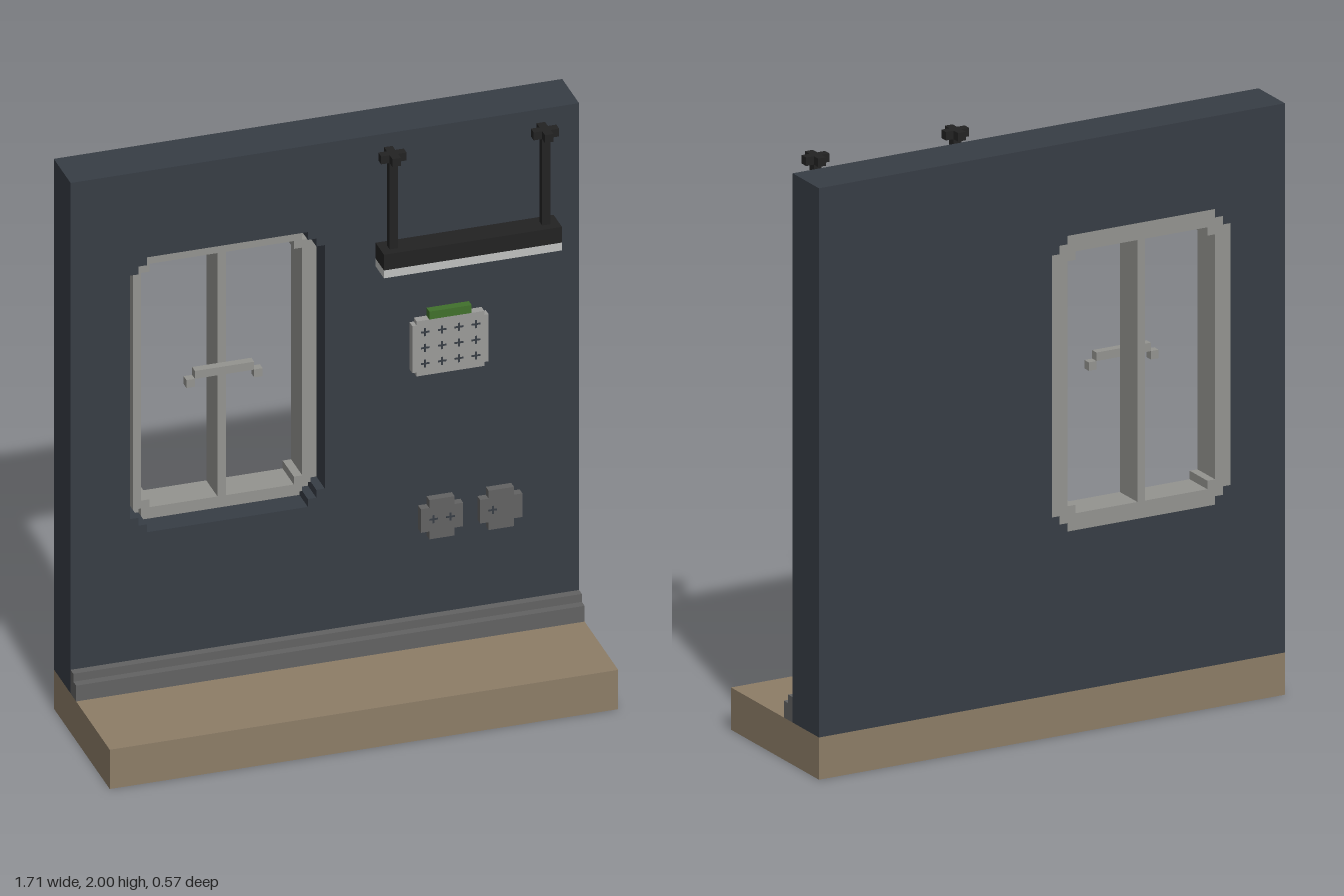
import * as THREE from 'three';

// Everything is laid out on a block grid, 70 blocks tall.
const UNIT = 2 / 70;

const mat = (name, color) => {
  const m = new THREE.MeshStandardMaterial({ color });
  m.name = name;
  return m;
};

// Corners of a rectangle whose corners are notched by n steps of size s.
function steppedRect(x0, y0, x1, y1, n, s = 1) {
  const corner = [];
  for (let i = 0; i <= n; i++) {
    corner.push([i * s, (n - i) * s]);
    if (i < n) corner.push([(i + 1) * s, (n - i) * s]);
  }
  const back = [...corner].reverse();
  return [
    ...corner.map(([a, b]) => [x0 + a, y0 + b]),
    ...back.map(([a, b]) => [x1 - a, y0 + b]),
    ...corner.map(([a, b]) => [x1 - a, y1 - b]),
    ...back.map(([a, b]) => [x0 + a, y1 - b]),
  ].map(([x, y]) => new THREE.Vector2(x, y));
}

export function createModel() {
  const wallBlue = mat('wall blue', 0x373d45);
  const wood = mat('floor tan', 0x8d7d67);
  const trim = mat('trim grey', 0x626262);
  const frameGrey = mat('frame grey', 0x949490);
  const panelGrey = mat('panel grey', 0x9b9b99);
  const socketGrey = mat('socket grey', 0x626262);
  const green = mat('tab green', 0x41702c);
  const black = mat('lamp black', 0x222222);
  const white = mat('lens white', 0xbfc1c0);

  const model = new THREE.Group();
  model.name = 'wallSection';
  model.scale.setScalar(UNIT);

  const add = (name, geometry, material) => {
    const mesh = new THREE.Mesh(geometry, material);
    mesh.name = name;
    model.add(mesh);
    return mesh;
  };
  // Box given by its two opposite corners.
  const box = (name, material, [x0, y0, z0], [x1, y1, z1]) =>
    add(name, new THREE.BoxGeometry(x1 - x0, y1 - y0, z1 - z0), material)
      .position.set((x0 + x1) / 2, (y0 + y1) / 2, (z0 + z1) / 2);
  // Outline, with an optional hole, extruded from z0 to z1.
  const slab = (name, material, outline, hole, z0, z1) => {
    const shape = new THREE.Shape(outline);
    if (hole) shape.holes.push(new THREE.Path(hole));
    const g = new THREE.ExtrudeGeometry(shape, { depth: z1 - z0, bevelEnabled: false });
    add(name, g, material).position.z = z0;
  };
  // Small cross-shaped perforation, as two thin plates.
  const perforation = (name, x, y) => {
    box(name, wallBlue, [x - 0.5, y - 0.11, -3], [x + 0.5, y + 0.11, -2.95]);
    box(name, wallBlue, [x - 0.11, y - 0.5, -3], [x + 0.11, y + 0.5, -2.95]);
  };

  // Floor, wall with window opening, stepped skirting
  const opening = steppedRect(-23, 24, 0, 59, 2);
  box('floor', wood, [-30, 0, -10], [30, 5, 10]);
  slab('wall', wallBlue, steppedRect(-30, 5, 30, 70, 0), opening, -10, -4);
  box('skirtingLower', trim, [-30, 5, -4], [30, 7, -2]);
  box('skirtingUpper', trim, [-30, 7, -4], [30, 8, -3]);

  // Window frame in two rings, mullion and handle
  const middle = steppedRect(-22, 25, -1, 58, 1);
  const inner = steppedRect(-21, 26, -2, 57, 1);
  slab('windowFrameOuter', frameGrey, opening, middle, -10, -7);
  slab('windowFrameInner', frameGrey, middle, inner, -10, -6);
  box('mullion', frameGrey, [-12, 26, -10], [-11, 57, -6]);
  box('handleBar', frameGrey, [-15, 42, -6], [-8, 43, -5]);
  for (const x of [-16, -8]) box('handleTip', frameGrey, [x, 41, -6], [x + 1, 42, -5]);

  // Perforated wall panel with a green tab
  slab('panel', panelGrey, steppedRect(10, 39, 19, 46, 1, 0.5), null, -4, -3);
  box('panelTab', green, [12, 46, -4], [17, 47, -3]);
  for (const x of [11.5, 13.5, 15.5, 17.5])
    for (const y of [40.5, 42.5, 44.5]) perforation('panelHole', x, y);

  // Wall sockets
  for (const x of [11, 18])
    slab('socket', socketGrey, steppedRect(x, 18, x + 5, 23, 1), null, -4, -3);
  for (const x of [12.5, 14.5, 19.5]) perforation('socketHole', x, 20.5);

  // Hanging lamp with two rods and cross-shaped ceiling caps
  box('lampBody', black, [5, 56, -1], [26, 58, 2]);
  box('lampLens', white, [5, 55, -1], [26, 56, 2]);
  for (const x of [6, 24]) {
    box('lampRod', black, [x, 58, 0], [x + 1, 70, 1]);
    box('lampCapAcross', black, [x - 1, 69, 0], [x + 2, 70, 1]);
    box('lampCapFront', black, [x, 69, 1], [x + 1, 70, 2]);
    box('lampCapBack', black, [x, 69, -1], [x + 1, 70, 0]);
  }

  const root = new THREE.Group();
  root.name = 'model';
  root.add(model);
  return root;
}
